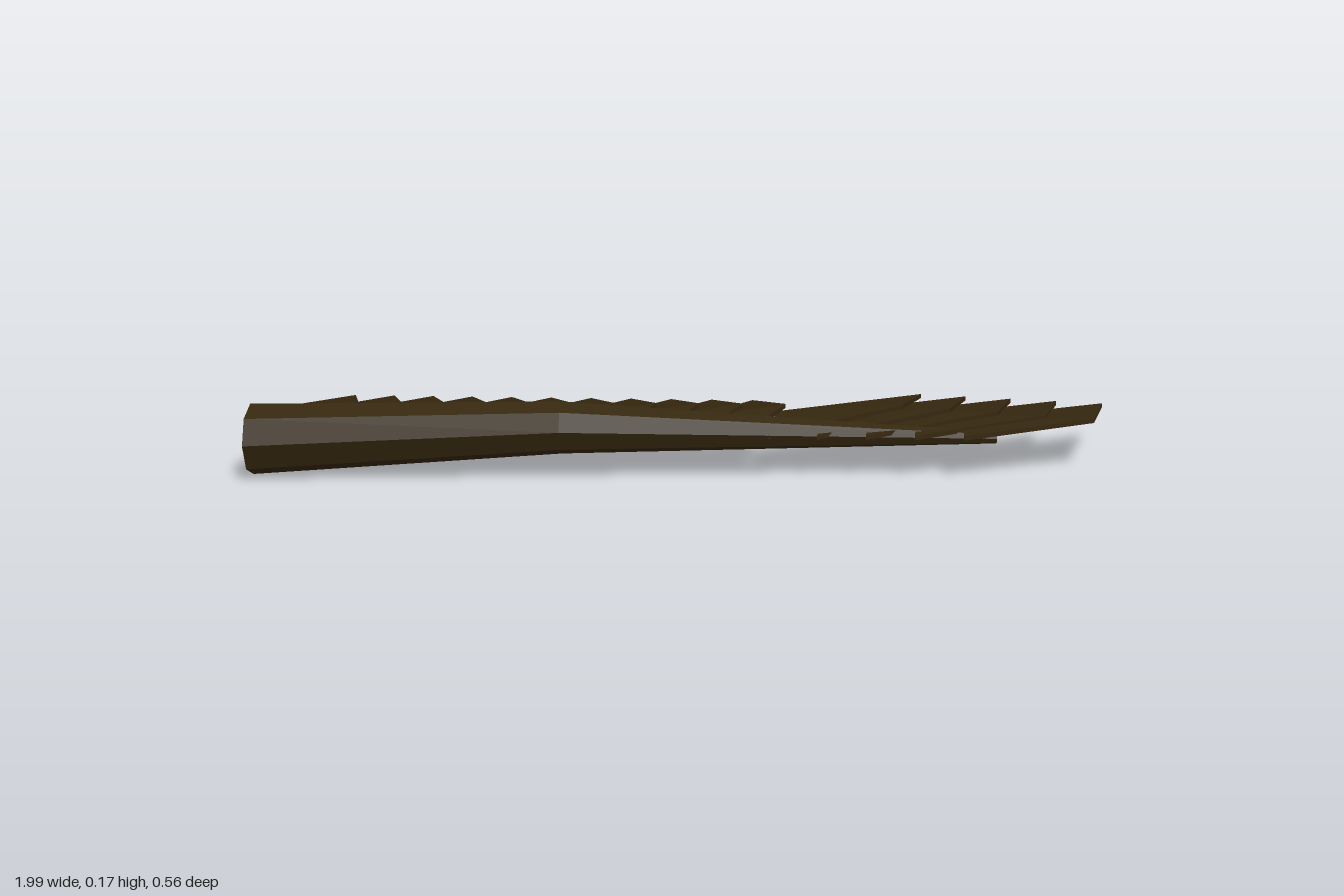
import * as THREE from 'three';

const brown = new THREE.MeshStandardMaterial({ color: 0x35270f, flatShading: true });
brown.name = 'darkBrown';

const lerp = THREE.MathUtils.lerp;

// Thin four-cornered blade: tip, left, root, right (counter-clockwise from above)
function feather(name, corners, thickness = 0.01) {
  const positions = [];
  for (const side of [0.5, -0.5]) {
    for (const [x, y, z] of corners) positions.push(x, y + side * thickness, z);
  }
  const index = [0, 1, 3, 1, 2, 3, 4, 7, 5, 5, 7, 6];
  for (let i = 0; i < 4; i++) {
    const j = (i + 1) % 4;
    index.push(i, i + 4, j + 4, i, j + 4, j);
  }
  const indexed = new THREE.BufferGeometry();
  indexed.setAttribute('position', new THREE.Float32BufferAttribute(positions, 3));
  indexed.setIndex(index);
  const geometry = indexed.toNonIndexed();
  geometry.computeVertexNormals();
  const mesh = new THREE.Mesh(geometry, brown);
  mesh.name = name;
  return mesh;
}

// Tapered eight-sided arm through three stations
function wingArm() {
  const stations = [
    { x: -0.97, y: 0.081, z: 0.205, r: 0.08 },
    { x: -0.28, y: 0.108, z: 0.187, r: 0.059 },
    { x: 0.69, y: 0.081, z: 0.135, r: 0.013 },
  ];
  const geometry = new THREE.CylinderGeometry(1, 1, 2, 8, 2).rotateZ(-Math.PI / 2);
  const p = geometry.attributes.position;
  for (let i = 0; i < p.count; i++) {
    const s = stations[Math.round(p.getX(i)) + 1];
    p.setXYZ(i, s.x, s.y + p.getY(i) * s.r, s.z + p.getZ(i) * s.r);
  }
  geometry.computeVertexNormals();
  const mesh = new THREE.Mesh(geometry, brown);
  mesh.name = 'wingArm';
  return mesh;
}

export function createModel() {
  const wing = new THREE.Group();
  wing.name = 'wing';
  wing.add(wingArm());

  // Short inner feathers along the arm
  const inner = new THREE.Group();
  inner.name = 'innerFeathers';
  for (let i = 0; i < 11; i++) {
    const t = i / 10;
    const x = lerp(-0.84, 0.145, t);
    const z = lerp(-0.275, -0.185, t);
    inner.add(feather('innerFeather', [
      [x, lerp(0.088, 0.098, t), z],
      [x - 0.16, 0.104, z + 0.285],
      [x - 0.02, 0.094, 0.2],
      [x + 0.075, 0.132, 0.04],
    ]));
  }
  wing.add(inner);

  // Long outer feathers fanning past the end of the arm
  const outer = new THREE.Group();
  outer.name = 'outerFeathers';
  for (let i = 0; i < 5; i++) {
    const t = i / 4;
    const x = lerp(0.56, 0.99, t);
    const z = lerp(-0.28, -0.21, t);
    outer.add(feather('outerFeather', [
      [x, lerp(0.098, 0.091, t), z],
      [x - 0.36, 0.101, z + 0.25],
      [x - 0.38, 0.092, 0.2],
      [x - 0.07, lerp(0.128, 0.106, t), lerp(0.02, 0.06, t)],
    ]));
  }
  wing.add(outer);

  return wing;
}
